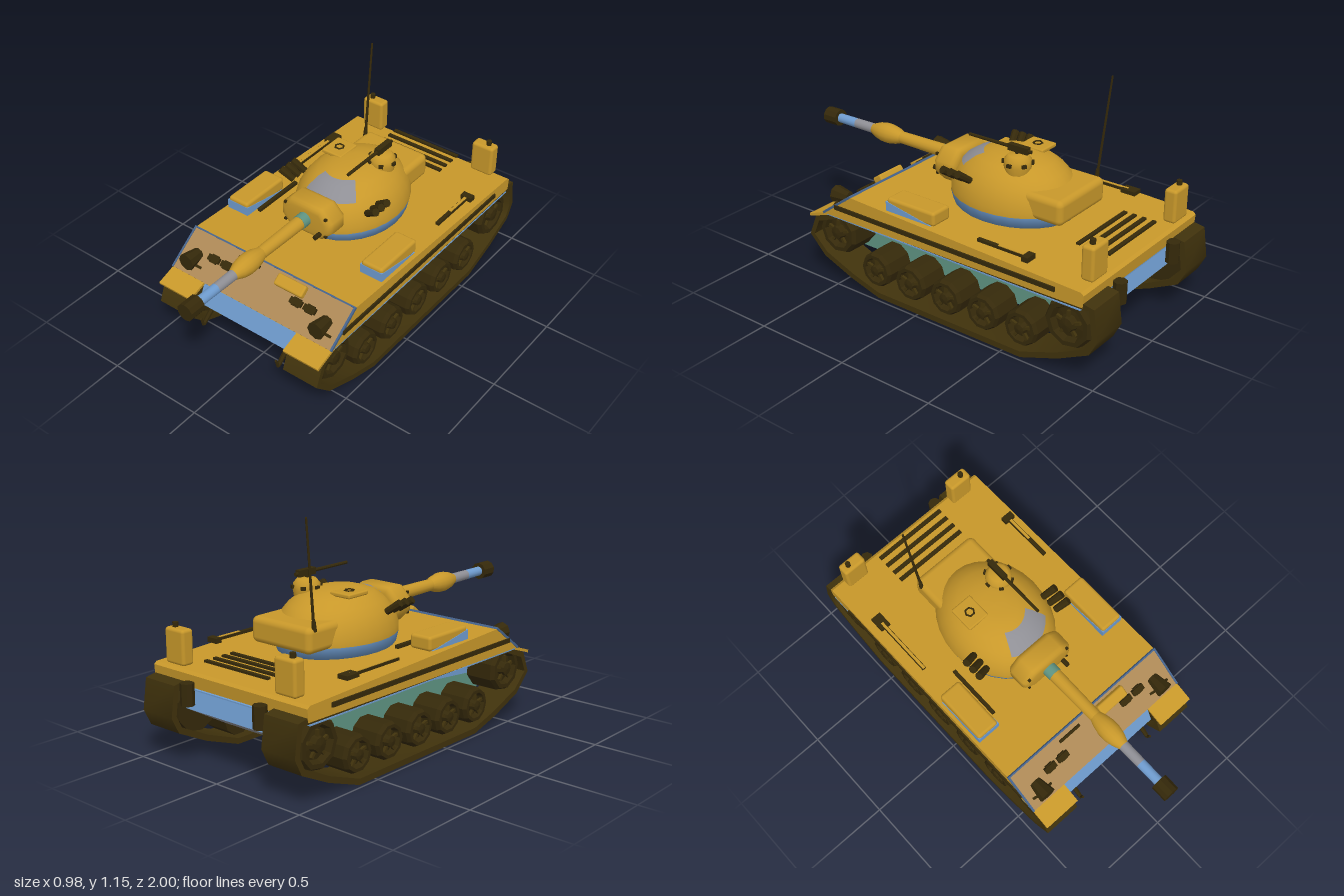
import * as THREE from 'three';
import { toCreasedNormals } from 'three/addons/utils/BufferGeometryUtils.js';
import { RoundedBoxGeometry } from 'three/addons/geometries/RoundedBoxGeometry.js';

const mat = (name, color, extra = {}) => {
  const m = new THREE.MeshStandardMaterial({ color, ...extra });
  m.name = name;
  return m;
};

export function createModel() {
  const gold = mat('gold paint', 0xc8982a);
  const tan = mat('tan paint', 0xac8856);
  const blue = mat('blue paint', 0x6f9ccf);
  const grey = mat('grey paint', 0x8f8f95);
  const green = mat('green paint', 0x5f9482);
  const trim = mat('dark blue trim', 0x45628a);
  const track = mat('track brown', 0x40320c);
  const dark = mat('dark metal', 0x35290a, { flatShading: true });

  const model = new THREE.Group();
  model.name = 'tank';

  // Helpers
  const add = (name, geo, m, x = 0, y = 0, z = 0, parent = model) => {
    const mesh = new THREE.Mesh(geo, m);
    mesh.name = name;
    mesh.position.set(x, y, z);
    parent.add(mesh);
    return mesh;
  };
  const box = (w, h, d) => new THREE.BoxGeometry(w, h, d);
  const rbox = (w, h, d, r = 0.015) => new RoundedBoxGeometry(w, h, d, 3, r);
  const shapeOf = pts => new THREE.Shape(pts.map(p => new THREE.Vector2(...p)));
  // Side profile given as [z, y], extruded across x
  const across = (shape, width) => new THREE.ExtrudeGeometry(shape, { depth: width, bevelEnabled: false })
    .translate(0, 0, -width / 2).rotateY(-Math.PI / 2);
  const lathe = (pts, seg, ...arc) => new THREE.LatheGeometry(pts.map(p => new THREE.Vector2(...p)), seg, ...arc);
  const rod = (name, a, b, r1, r2, m, seg = 8, parent = model) => {
    const A = new THREE.Vector3(...a), B = new THREE.Vector3(...b), dir = B.clone().sub(A);
    const mesh = add(name, new THREE.CylinderGeometry(r2, r1, dir.length(), seg), m, 0, 0, 0, parent);
    mesh.position.copy(A.add(B).multiplyScalar(0.5));
    mesh.quaternion.setFromUnitVectors(new THREE.Vector3(0, 1, 0), dir.normalize());
  };

  // Lower hull: blue upper band, green flanks and grey belly
  add('lowerHullBand', across(shapeOf([[0.58, 0.37], [0.625, 0.26], [0.45, 0.225], [-0.3, 0.3], [-0.75, 0.31], [-0.915, 0.265], [-0.885, 0.38]]), 0.57), blue);
  add('belly', across(shapeOf([[0.625, 0.26], [0.52, 0.13], [-0.68, 0.13], [-0.915, 0.265], [-0.75, 0.31], [-0.3, 0.3], [0.45, 0.225]]), 0.57), [green, grey]);

  // Upper hull with sloped front
  add('upperHull', across(shapeOf([[0.41, 0.495], [0.59, 0.362], [-0.92, 0.375], [-0.925, 0.435], [-0.91, 0.447]]), 0.965), gold);
  add('hullUnderside', box(0.965, 0.006, 1.48), blue, 0, 0.361, -0.17);
  const glacis = new THREE.Group();
  glacis.name = 'frontPlate';
  glacis.position.set(0, 0.4285, 0.5);
  glacis.rotation.x = Math.atan2(0.133, 0.18);
  model.add(glacis);
  add('glacis', box(0.95, 0.009, 0.222), tan, 0, 0.002, 0, glacis);
  add('glacisTopTrim', box(0.97, 0.012, 0.008), trim, 0, 0.003, -0.111, glacis);
  add('visionSlit', box(0.13, 0.012, 0.014), dark, -0.115, 0.008, -0.075, glacis);
  add('driverVisor', rbox(0.165, 0.035, 0.06, 0.01), gold, 0.148, 0.021, -0.065, glacis);
  for (const s of [-1, 1]) {
    add('glacisSideTrim', box(0.01, 0.012, 0.225), trim, s * 0.48, 0.003, 0, glacis);
    for (const x of [0.21, 0.29]) {
      add('spareLink', box(0.066, 0.018, 0.03), dark, s * x, 0.014, -0.01, glacis);
      add('spareLinkPin', box(0.04, 0.012, 0.042), dark, s * x, 0.012, -0.01, glacis);
    }
  }

  // Track band: outer loop and the same loop inset by the track thickness
  const outer = [[0.5, 0.385], [0.65, 0.325], [0.695, 0.215], [0.6, 0.12], [0.42, 0.05], [0.25, 0.002],
    [-0.6, 0.002], [-0.8, 0.075], [-0.96, 0.155], [-1, 0.235], [-0.978, 0.385], [-0.92, 0.395]];
  const inner = outer.map((p, i) => {
    const a = outer.at(i - 1), b = outer[(i + 1) % outer.length];
    const n = new THREE.Vector2(b[1] - a[1], a[0] - b[0]).normalize();
    if (n.dot(new THREE.Vector2(-0.15 - p[0], 0.2 - p[1])) < 0) n.negate();
    return new THREE.Vector2(...p).addScaledVector(n, 0.029);
  });
  const bandShape = shapeOf(outer);
  bandShape.holes.push(new THREE.Path(inner.reverse()));
  const bandGeo = toCreasedNormals(across(bandShape, 0.195), 1);
  const wheelGeo = (r, seg) => lathe([[0, -0.08], [r, -0.08], [r, 0.06], [r * 0.9, 0.08], [r * 0.72, 0.08],
    [r * 0.62, 0.05], [r * 0.35, 0.055], [r * 0.28, 0.085], [0, 0.09]], seg);
  const road = wheelGeo(0.09, 10), idler = wheelGeo(0.115, 9), sprocket = wheelGeo(0.123, 9);

  // Parts mirrored on both sides
  for (const s of [-1, 1]) {
    const side = new THREE.Group();
    side.name = s > 0 ? 'leftRunningGear' : 'rightRunningGear';
    model.add(side);
    add('track', bandGeo, track, s * 0.382, 0, 0, side);
    const wheel = (name, geo, y, z) => {
      add(name, geo, dark, s * 0.38, y, z, side).rotation.z = -s * Math.PI / 2;
      for (let i = 0; i < 5; i++) {
        const a = i * Math.PI * 2 / 5;
        const spoke = add('wheelSpoke', box(0.014, 0.05, 0.014), track, s * 0.446, y + Math.cos(a) * 0.04, z + Math.sin(a) * 0.04, side);
        spoke.rotation.x = a;
      }
    };
    for (let i = 0; i < 5; i++) wheel('roadWheel', road, 0.132, 0.284 - i * 0.216);
    wheel('idler', idler, 0.262, 0.53);
    wheel('sprocket', sprocket, 0.25, -0.83);

    // Front mudguard and hull side strip
    add('mudguard', box(0.2, 0.014, 0.13), gold, s * 0.382, 0.343, 0.627).rotation.x = 0.33;
    add('sideStrip', box(0.012, 0.022, 1.29), dark, s * 0.485, 0.418, -0.135);

    // Headlight with bracket
    rod('headlight', [s * 0.39, 0.433, 0.5], [s * 0.39, 0.433, 0.59], 0.03, 0.045, dark);
    for (const d of [-1, 1]) rod('headlightBracket', [s * 0.39 + d * 0.058, 0.4, 0.55], [s * 0.39, 0.42, 0.565], 0.007, 0.007, dark, 5);

    // Tow hook
    rod('towHook', [s * 0.23, 0.235, 0.6], [s * 0.23, 0.18, 0.665], 0.014, 0.01, dark, 6);
    rod('towHookTip', [s * 0.23, 0.18, 0.665], [s * 0.23, 0.225, 0.68], 0.009, 0.006, dark, 6);

    // Stowage bin with blue wedge, fuel can and exhaust
    add('stowageBin', rbox(0.12, 0.07, 0.285), gold, s * 0.405, 0.522, 0.047);
    add('binWedge', across(shapeOf([[0.192, 0.49], [0.192, 0.538], [-0.08, 0.49]]), 0.125), blue, s * 0.405);
    add('fuelCan', rbox(0.124, 0.168, 0.065), gold, s * 0.346, 0.541, -0.887);
    rod('fuelCanCap', [s * 0.367, 0.62, -0.887], [s * 0.367, 0.648, -0.887], 0.014, 0.014, dark);
    rod('exhaust', [s * 0.23, 0.3, -0.95], [s * 0.23, 0.405, -0.95], 0.033, 0.033, dark);

    // Smoke launchers on the turret
    for (let i = 0; i < 3; i++) {
      const z = -0.105 + i * 0.045;
      rod('smokeLauncher', [s * 0.222, 0.642, z - 0.01], [s * 0.287, 0.69, z + 0.01], 0.017, 0.02, dark);
    }
  }

  // Engine louvres and deck tools
  for (const z of [-0.863, -0.81, -0.757, -0.706]) add('engineLouvre', box(0.4, 0.01, 0.02), dark, 0, 0.493, z);
  add('shovelHandle', box(0.02, 0.014, 0.32), dark, -0.418, 0.49, -0.43);
  add('shovelHandleGrip', box(0.014, 0.004, 0.32), gold, -0.418, 0.498, -0.43);
  add('shovelHead', box(0.055, 0.02, 0.08), dark, -0.418, 0.49, -0.6);
  add('hammerHandle', box(0.02, 0.014, 0.27), dark, 0.43, 0.49, -0.46);
  add('hammerHandleGrip', box(0.014, 0.004, 0.14), gold, 0.43, 0.498, -0.51);
  add('hammerHead', box(0.06, 0.025, 0.035), dark, 0.43, 0.49, -0.6);
  add('crowbar', box(0.018, 0.016, 0.29), dark, -0.32, 0.5, -0.015);

  // Turret dome with blue skirt and grey front patch
  const turret = new THREE.Group();
  turret.name = 'turret';
  model.add(turret);
  const domeParts = [
    ['turretDome', lathe([[0.266, 0.53], [0.265, 0.56], [0.252, 0.61], [0.23, 0.65], [0.203, 0.685],
      [0.16, 0.72], [0.1, 0.743], [0.05, 0.749], [0, 0.75]], 28), gold],
    ['turretSkirt', lathe([[0, 0.475], [0.254, 0.475], [0.266, 0.53]], 28), blue],
    ['domePatch', lathe([[0.219, 0.672], [0.206, 0.688], [0.163, 0.723], [0.13, 0.736]], 14, -0.5, 1.3), grey],
  ];
  for (const [name, geo, m] of domeParts) add(name, geo, m, 0, 0, -0.215, turret).scale.z = 1.24;
  add('turretBustle', rbox(0.37, 0.125, 0.22, 0.03), gold, 0, 0.588, -0.49, turret);

  // Gun mount with chamfered outline and rounded front
  const c = 0.04, w = 0.118, h = 0.056;
  const mount = new THREE.ExtrudeGeometry(shapeOf([[w, c - h], [w, h - c], [w - c, h], [c - w, h], [-w, h - c],
    [-w, c - h], [c - w, -h], [w - c, -h]]), { depth: 0.065, bevelSize: 0.032, bevelThickness: 0.032, bevelSegments: 4 });
  add('gunMount', toCreasedNormals(mount, 0.9), gold, 0, 0.618, 0.073, turret);
  for (const x of [-0.12, 0.12]) for (const y of [-0.05, 0.05]) add('mountBolt', box(0.012, 0.012, 0.012), dark, x, 0.618 + y, 0.164, turret);
  rod('coaxialGun', [0.09, 0.575, 0.15], [0.09, 0.575, 0.21], 0.012, 0.012, dark, 8, turret);

  // Barrel in painted sections
  const gy = 0.625;
  const tube = (name, z0, z1, r0, r1, m, seg = 16) => rod(name, [0, gy, z0], [0, gy, z1], r0, r1, m, seg, turret);
  tube('barrelRoot', 0.15, 0.215, 0.037, 0.036, green);
  tube('barrelRear', 0.215, 0.54, 0.034, 0.03, gold);
  tube('barrelMiddle', 0.62, 0.8, 0.027, 0.025, grey);
  tube('barrelFront', 0.8, 0.93, 0.025, 0.024, blue);
  tube('muzzle', 0.918, 1, 0.044, 0.044, dark, 10);
  const extractor = lathe([[0.028, -0.1], [0.042, -0.06], [0.05, -0.02], [0.05, 0.02], [0.042, 0.06], [0.026, 0.1]], 16);
  add('fumeExtractor', extractor.rotateX(Math.PI / 2), gold, 0, gy, 0.585, turret);

  // Roof hatch
  add('roofHatch', rbox(0.118, 0.022, 0.135, 0.008), gold, -0.118, 0.742, -0.258, turret);
  add('hatchRing', new THREE.TorusGeometry(0.022, 0.005, 5, 6).rotateX(Math.PI / 2), dark, -0.118, 0.754, -0.258, turret);

  // Cupola with periscopes and machine gun
  add('cupola', lathe([[0.06, 0.7], [0.066, 0.735], [0.064, 0.765], [0.045, 0.787], [0, 0.79]], 16), gold, 0.107, 0, -0.305, turret);
  for (let i = 0; i < 6; i++) {
    const a = i * Math.PI / 3 + Math.PI / 6;
    add('periscope', box(0.022, 0.016, 0.022), dark, 0.107 + Math.sin(a) * 0.064, 0.75, -0.305 + Math.cos(a) * 0.064, turret).rotation.y = a;
  }
  add('machineGunPost', box(0.015, 0.04, 0.015), dark, 0.107, 0.797, -0.3, turret);
  add('machineGunBody', box(0.028, 0.032, 0.11), dark, 0.107, 0.816, -0.31, turret);
  rod('machineGunBarrel', [0.107, 0.815, -0.38], [0.107, 0.815, -0.025], 0.009, 0.008, dark, 8, turret);

  // Aerial
  rod('aerialBase', [-0.176, 0.63, -0.555], [-0.176, 0.68, -0.56], 0.012, 0.009, dark, 8, turret);
  rod('aerial', [-0.176, 0.67, -0.56], [-0.186, 1.15, -0.61], 0.007, 0.005, dark, 6, turret);

  return model;
}
